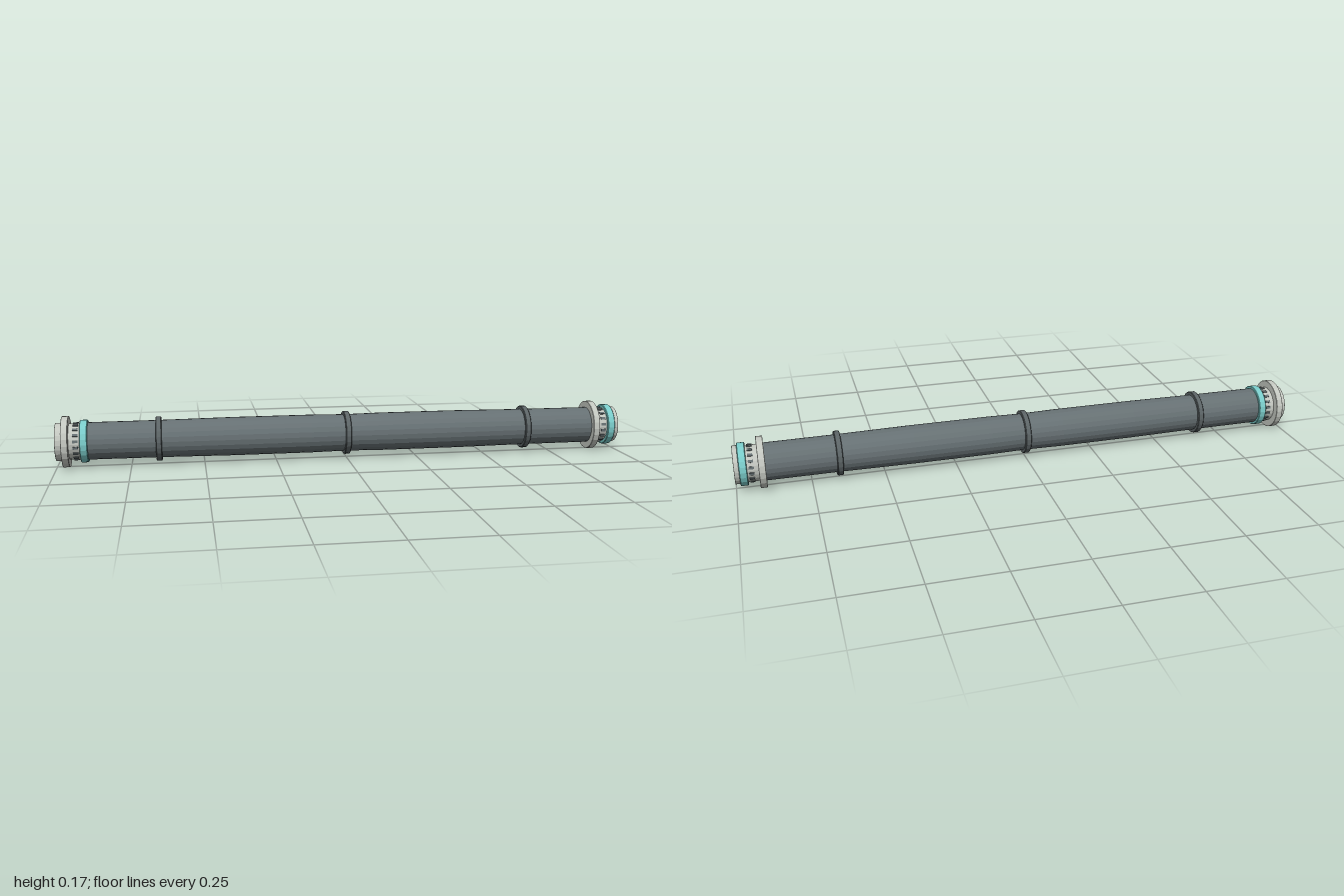
import * as THREE from 'three';

const SIDES = 24;
const AXIS_Y = 0.0875;

function mat(name, color) {
  const m = new THREE.MeshStandardMaterial({ color, flatShading: true });
  m.name = name;
  return m;
}

export function createModel() {
  const group = new THREE.Group();
  group.name = 'pipe';
  const dark = mat('darkGrey', 0x667073);
  const ringGrey = mat('ringGrey', 0x5c6466);
  const light = mat('lightGrey', 0xc3c7c0);
  const cyan = mat('cyan', 0x7accca);

  // Solid of revolution along x from [x, radius] pairs
  function turned(name, profile, material) {
    const first = profile[0][0], last = profile[profile.length - 1][0];
    const pts = [[first, 0], ...profile, [last, 0]].map(([x, r]) => new THREE.Vector2(r, x));
    const geo = new THREE.LatheGeometry(pts, SIDES);
    geo.rotateZ(-Math.PI / 2);
    const mesh = new THREE.Mesh(geo, material);
    mesh.name = name;
    mesh.position.y = AXIS_Y;
    group.add(mesh);
  }

  // Disc or band with slightly bevelled rims
  function band(name, x0, x1, r, material, bevel = 0.002) {
    turned(name, [[x0, r - bevel], [x0 + bevel, r], [x1 - bevel, r], [x1, r - bevel]], material);
  }

  // Main tube, swelling gently between its rings
  turned('mainTube', [
    [-0.9, 0.064], [-0.655, 0.0645], [-0.4, 0.067], [-0.13, 0.067], [0, 0.065],
    [0.13, 0.067], [0.4, 0.067], [0.655, 0.0645], [0.91, 0.064],
  ], dark);

  for (const x of [-0.655, 0, 0.655]) band('tubeRing', x - 0.01, x + 0.01, 0.0765, ringGrey);

  // Studs around the collar
  function studs(x) {
    const ring = new THREE.Group();
    ring.name = 'collarStuds';
    const geo = new THREE.BoxGeometry(0.017, 0.008, 0.009);
    for (let i = 0; i < 18; i++) {
      const a = (i / 18) * Math.PI * 2;
      const stud = new THREE.Mesh(geo, dark);
      stud.name = 'stud';
      stud.position.set(x, Math.cos(a) * 0.061, Math.sin(a) * 0.061);
      stud.rotation.x = a;
      ring.add(stud);
    }
    ring.position.y = AXIS_Y;
    group.add(ring);
  }

  // Both ends share the same coupling: flange, studded collar, coloured ring
  for (const x of [-0.978, 0.898]) {
    band('flange', x, x + 0.023, 0.0875, light, 0.001);
    band('collar', x + 0.02, x + 0.064, 0.062, light, 0.0005);
    studs(x + 0.046);
    band('colouredRing', x + 0.06, x + 0.086, 0.073, cyan, 0.002);
  }

  // End caps
  band('rightCap', -1, -0.97, 0.065, light, 0.0005);
  band('leftCap', 0.975, 1, 0.065, light, 0.0005);

  return group;
}
